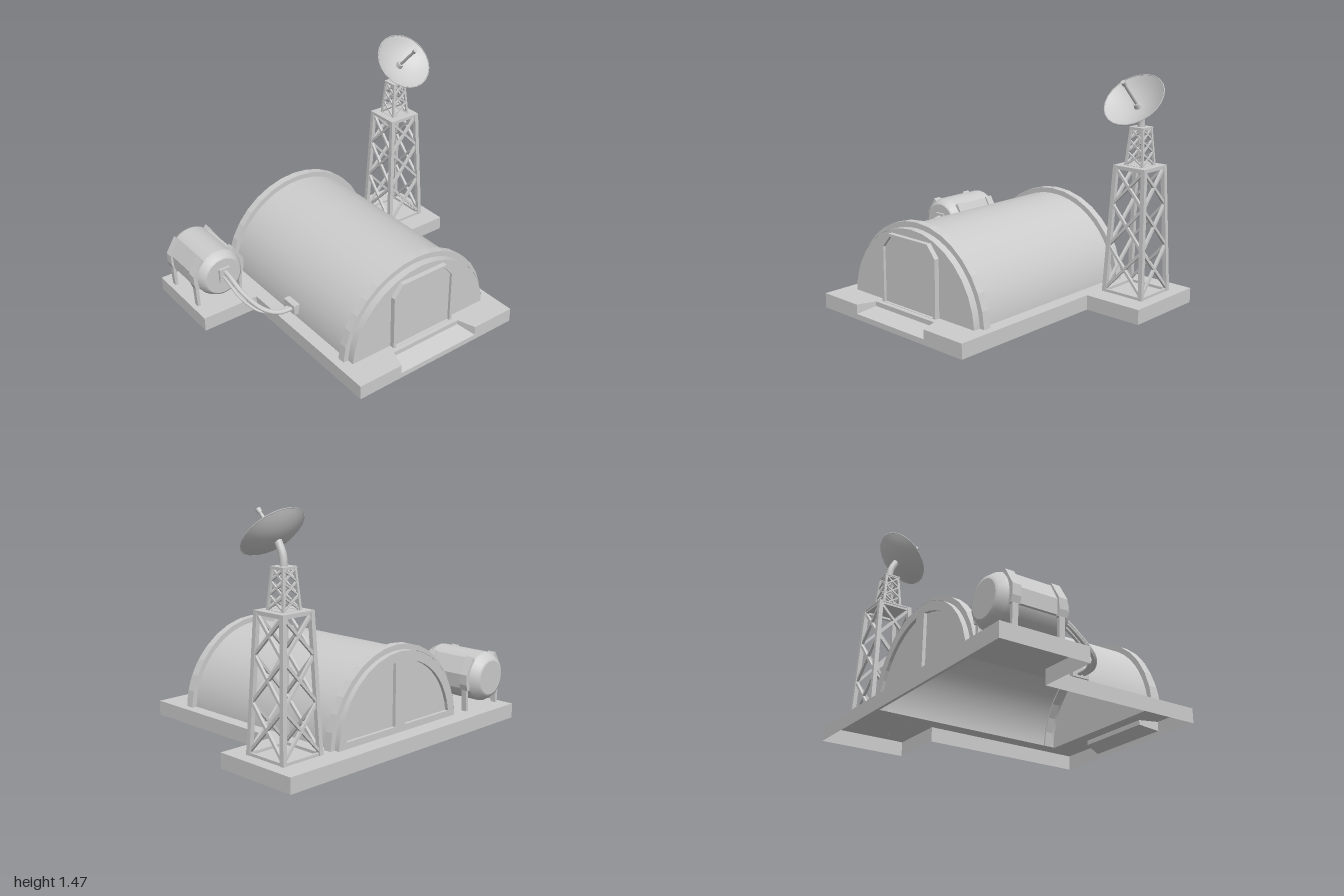
import * as THREE from 'three';

const V = (x, y, z) => new THREE.Vector3(x, y, z);
const mat = new THREE.MeshStandardMaterial({ color: 0xcccccc });
const thin = new THREE.MeshStandardMaterial({ color: 0xcccccc, side: THREE.DoubleSide });
const GROUND = 0.095;

function add(parent, name, geo, x = 0, y = 0, z = 0, m = mat) {
  const mesh = new THREE.Mesh(geo, m);
  mesh.name = name;
  mesh.position.set(x, y, z);
  parent.add(mesh);
  return mesh;
}
function group(parent, name, x = 0, y = 0, z = 0) {
  const g = new THREE.Group();
  g.name = name;
  g.position.set(x, y, z);
  parent.add(g);
  return g;
}
const box = (w, h, d) => new THREE.BoxGeometry(w, h, d);
const shapeOf = (pts) => new THREE.Shape(pts.map(([x, y]) => new THREE.Vector2(x, y)));
const extrude = (shape, depth) => new THREE.ExtrudeGeometry(shape, { depth, bevelEnabled: false });

// Square bar from a to b
function beam(parent, name, a, b, t) {
  const d = b.clone().sub(a);
  const m = add(parent, name, box(t, d.length(), t));
  m.position.copy(a).add(b).multiplyScalar(0.5);
  m.quaternion.setFromUnitVectors(V(0, 1, 0), d.normalize());
}

// Flat quads from corner lists
function quads(list) {
  const pos = [];
  for (const [a, b, c, d] of list) pos.push(...a, ...b, ...c, ...a, ...c, ...d);
  const g = new THREE.BufferGeometry();
  g.setAttribute('position', new THREE.Float32BufferAttribute(pos, 3));
  g.computeVertexNormals();
  return g;
}

// T-shaped slab, open below, with an entrance ramp cut into the front edge
function buildBase(root) {
  const g = group(root, 'base');
  const rim = [[-0.3, 0.84], [-0.61, 0.84], [-0.61, -0.27], [-1, -0.27], [-1, -0.84],
    [1, -0.84], [1, -0.27], [0.61, -0.27], [0.61, 0.84], [0.3, 0.84]];
  const top = shapeOf([...rim, [0.26, 0.72], [-0.26, 0.72]]);
  top.holes.push(shapeOf([[-0.51, -0.7], [0.51, -0.7], [0.51, 0.64], [-0.51, 0.64]]));
  add(g, 'baseTop', new THREE.ShapeGeometry(top).rotateX(Math.PI / 2), 0, GROUND, 0, thin);
  const walls = [];
  for (let i = 0; i < rim.length; i++) {
    const [ax, az] = rim[i], [bx, bz] = rim[(i + 1) % rim.length];
    const h = i === rim.length - 1 ? 0.035 : GROUND;
    walls.push([[bx, 0, bz], [ax, 0, az], [ax, h, az], [bx, h, bz]]);
  }
  add(g, 'baseWalls', quads(walls), 0, 0, 0, thin);
  const lo = 0.035, hi = 0.065, T = GROUND;
  add(g, 'entranceRamp', quads([
    [[-0.3, lo, 0.84], [0.3, lo, 0.84], [0.26, hi, 0.72], [-0.26, hi, 0.72]],
    [[-0.26, hi, 0.72], [0.26, hi, 0.72], [0.26, T, 0.72], [-0.26, T, 0.72]],
    [[-0.3, lo, 0.84], [-0.26, hi, 0.72], [-0.26, T, 0.72], [-0.3, T, 0.84]],
    [[0.26, hi, 0.72], [0.3, lo, 0.84], [0.3, T, 0.84], [0.26, T, 0.72]],
  ]), 0, 0, 0, thin);
}

// Arc of points about the hangar axis, right to left
function arc(r, a0, a1, n) {
  return Array.from({ length: n + 1 }, (_, i) => {
    const a = a0 + (a1 - a0) * i / n;
    return [r * Math.cos(a), r * Math.sin(a)];
  });
}

function buildHangar(root) {
  const CY = 0.065, R = 0.525, RIB = 0.56, N = 16, foot = 0.03;
  const g = group(root, 'hangar', 0, CY, 0);
  const arch = (r) => { const a = Math.asin(foot / r); return arc(r, a, Math.PI - a, N); };

  // Vaulted roof
  const a = Math.asin(foot / R);
  const roof = new THREE.CylinderGeometry(R, R, 1.385, N * 2, 1, true, Math.PI / 2 + a, Math.PI - 2 * a);
  add(g, 'roof', roof.rotateX(Math.PI / 2), 0, 0, -0.0375, thin);

  // Raised ribs near both ends
  const rib = extrude(shapeOf([...arch(RIB), ...arch(R - 0.01).reverse()]), 0.052);
  add(g, 'frontRib', rib, 0, 0, 0.557);
  add(g, 'backRib', rib, 0, 0, -0.697);

  // Front wall and chamfered door
  add(g, 'frontWall', extrude(shapeOf(arch(R)), 0.02), 0, 0, 0.635);
  const door = (w, h, c) => [[-w, foot], [w, foot], [w, h - c], [w - c * 0.85, h], [-w + c * 0.85, h], [-w, h - c]];
  const frame = shapeOf(door(0.237, 0.475, 0.078));
  frame.holes.push(shapeOf(door(0.218, 0.457, 0.072).map(([x, y]) => [x, Math.max(y, foot + 0.002)])));
  add(g, 'doorFrame', extrude(frame, 0.033), 0, 0, 0.655);
  add(g, 'doorPanel', extrude(shapeOf(door(0.22, 0.46, 0.072)), 0.015), 0, 0, 0.655);

  // Back wall with two sunken quarter-round panels
  const wall = shapeOf(arch(R));
  for (const s of [1, -1]) {
    const r = 0.465, x0 = 0.045, y0 = 0.07;
    const pts = arc(r, Math.asin(y0 / r), Math.acos(x0 / r), 10);
    wall.holes.push(shapeOf([[x0, y0], ...pts].map(([x, y]) => [s * x, y])));
  }
  add(g, 'backWall', extrude(wall, 0.025), 0, 0, -0.73);
  add(g, 'backPanels', extrude(shapeOf(arch(R - 0.02)), 0.006), 0, 0, -0.708);
}

// Tank lying along z on four bracketed legs
function buildTank(root) {
  const g = group(root, 'tank', -0.8, 0.3, -0.575);
  const profile = [[0, -0.23], [0.11, -0.23], [0.128, -0.222], [0.158, -0.18], [0.16, -0.17],
    [0.16, 0.17], [0.158, 0.18], [0.138, 0.222], [0.125, 0.23], [0, 0.23]];
  // Split the lathe so the end discs keep crisp edges
  for (const [name, i, j] of [['backDisc', 0, 2], ['backCap', 1, 5], ['tankBody', 4, 6], ['frontCap', 5, 9], ['frontDisc', 8, 10]]) {
    const pts = profile.slice(i, j).map(([x, y]) => new THREE.Vector2(x, y));
    add(g, name, new THREE.LatheGeometry(pts, 24).rotateX(Math.PI / 2), 0, 0, 0, thin);
  }
  for (const s of [1, -1]) {
    const side = group(g, s > 0 ? 'leftCradle' : 'rightCradle');
    side.scale.x = s;
    const bracket = shapeOf([[0.15, -0.07], [0.172, -0.07], [0.184, -0.03], [0.184, 0.035], [0.118, 0.142], [0.1, 0.12], [0.15, 0.03]]);
    const panel = shapeOf([[0.14, -0.06], [0.166, -0.06], [0.17, 0.03], [0.112, 0.132], [0.095, 0.12], [0.14, 0.03]]);
    add(side, 'sidePanel', extrude(panel, 0.25), 0, 0, -0.125);
    for (const z of [-0.148, 0.148]) {
      add(side, 'bracket', extrude(bracket, 0.056), 0, 0, z - 0.028);
      const leg = shapeOf([[0.147, -0.205], [0.167, -0.205], [0.173, -0.06], [0.15, -0.06]]);
      add(side, 'leg', extrude(leg, 0.036), 0, 0, z - 0.018);
    }
  }
}

// Pipes from the tank to the hangar wall
function buildPipes(root) {
  const g = group(root, 'pipes');
  add(g, 'tankFlange', box(0.075, 0.095, 0.02), -0.795, 0.315, -0.338);
  add(g, 'wallBox', box(0.06, 0.065, 0.115), -0.522, 0.162, 0.027);
  const runs = [[0, 0, 0.016, 0.04], [-0.018, -0.03, 0.009, 0.01], [0.012, -0.03, 0.009, 0.0]];
  for (const [dx, dy, r, dz] of runs) {
    const path = new THREE.CatmullRomCurve3([
      V(-0.79 + dx, 0.335 + dy, -0.34), V(-0.79 + dx, 0.32 + dy, -0.27), V(-0.775 + dx, 0.26 + dy, -0.16),
      V(-0.72 + dx, 0.195 + dy * 0.6, -0.04 + dz * 0.6), V(-0.64, 0.165 + dy * 0.4, 0.0 + dz),
      V(-0.53, 0.16 + dy * 0.3, 0.01 + dz)]);
    add(g, 'pipe', new THREE.TubeGeometry(path, 24, r, 8));
  }
}

// Tapered lattice: four legs and crossed braces on every side
function lattice(parent, name, y0, y1, h0, h1, tiers, legT, braceT) {
  const g = group(parent, name);
  const half = (y) => h0 + (h1 - h0) * (y - y0) / (y1 - y0) - legT / 2;
  const corner = (s, y) => V(s * half(y), y, half(y));
  for (let k = 0; k < 4; k++) {
    const side = group(g, 'latticeSide');
    side.rotation.y = k * Math.PI / 2;
    beam(side, 'towerLeg', corner(1, y0), corner(1, y1), legT);
    for (let i = 0; i + 1 < tiers.length; i++)
      for (const s of [1, -1]) beam(side, 'brace', corner(s, tiers[i]), corner(-s, tiers[i + 1]), braceT);
    for (const y of [y0 + braceT / 2, y1 - braceT / 2]) beam(side, 'crossbar', corner(-1, y), corner(1, y), braceT);
  }
}

function buildTower(root) {
  const g = group(root, 'antennaTower', 0.775, 0, -0.555);
  lattice(g, 'lowerLattice', GROUND, 0.905, 0.152, 0.118, [0.115, 0.4, 0.665, 0.895], 0.028, 0.017);
  lattice(g, 'upperLattice', 0.905, 1.145, 0.07, 0.05, [0.915, 0.995, 1.07, 1.14], 0.015, 0.01);
  add(g, 'platform', box(0.236, 0.01, 0.236), 0, 0.908, 0);
  add(g, 'capPlate', box(0.106, 0.01, 0.106), 0, 1.147, 0);

  // Bent mast
  const mast = new THREE.CatmullRomCurve3([V(0, 1.145, 0), V(0, 1.185, 0.002), V(0, 1.225, 0.012), V(0, 1.285, 0.045)]);
  add(g, 'mast', new THREE.TubeGeometry(mast, 12, 0.023, 12));

  // Dish tilted up and forward, its axis along local y
  const dish = group(g, 'dish', 0, 1.328, 0.087);
  dish.rotation.x = Math.PI / 4;
  const bowl = [];
  for (let i = 0; i <= 8; i++) bowl.push(new THREE.Vector2(0.197 * i / 8, -0.068 + 0.068 * (i / 8) ** 2));
  add(dish, 'bowl', new THREE.LatheGeometry(bowl, 24), 0, 0, 0, thin);
  add(dish, 'bowlRim', new THREE.TorusGeometry(0.195, 0.004, 4, 24).rotateX(Math.PI / 2));
  add(dish, 'feedBase', new THREE.CylinderGeometry(0.018, 0.026, 0.03, 12), 0, -0.052, 0);
  add(dish, 'feedRod', new THREE.CylinderGeometry(0.01, 0.01, 0.21, 10), 0, 0.045, 0);
  add(dish, 'feedTip', new THREE.CylinderGeometry(0.016, 0.013, 0.03, 10), 0, 0.15, 0);
}

export function createModel() {
  const root = new THREE.Group();
  root.name = 'outpost';
  buildBase(root);
  buildHangar(root);
  buildTank(root);
  buildPipes(root);
  buildTower(root);
  return root;
}
